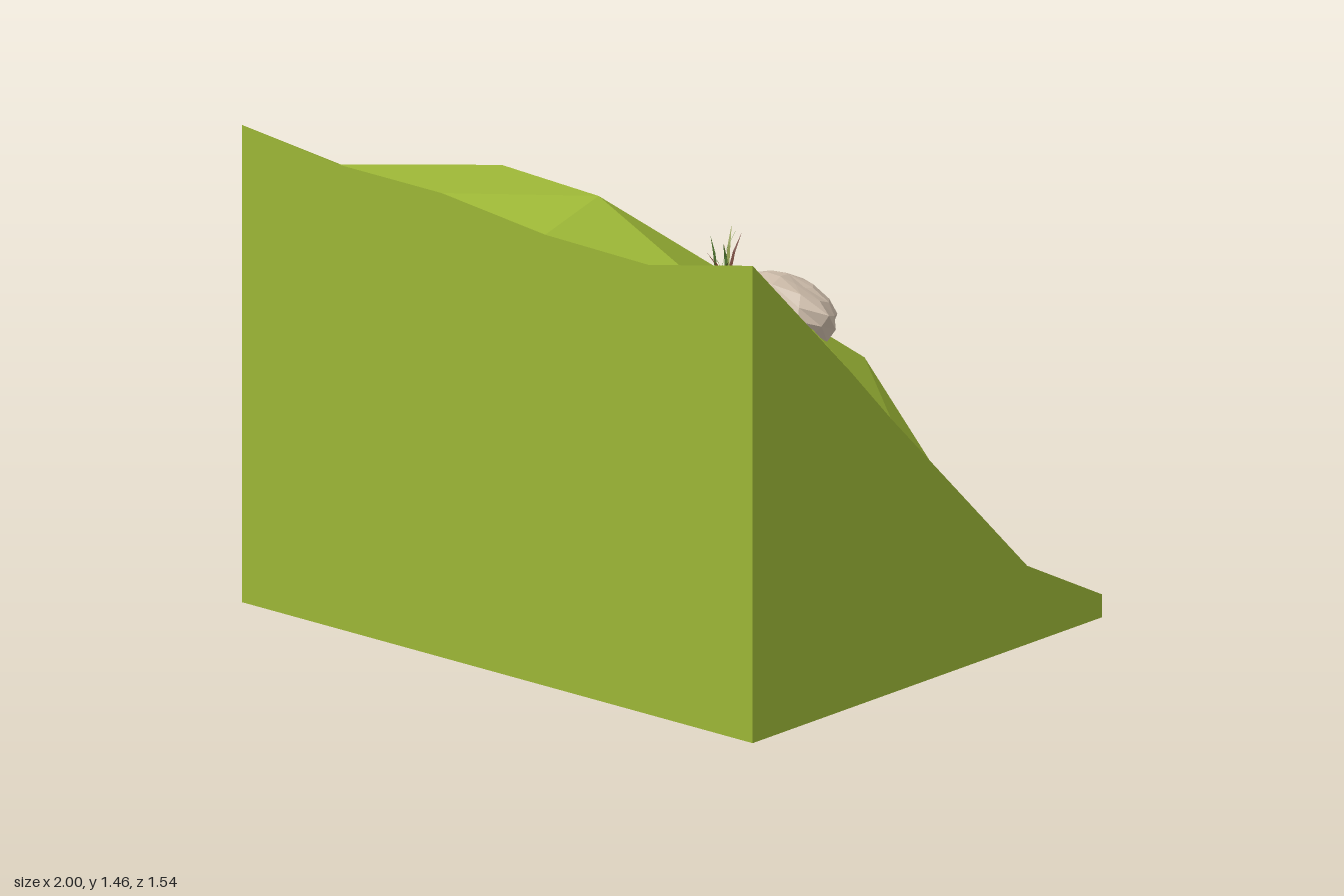
import * as THREE from 'three';

// seeded random numbers
function makeRandom(seed) {
  return () => {
    seed = (seed * 16807) % 2147483647;
    return seed / 2147483647;
  };
}

// flat-faced geometry from a list of four-cornered faces
function fromQuads(quads) {
  const pos = [];
  for (const [a, b, c, d] of quads) {
    for (const p of [a, b, c, a, c, d]) pos.push(...p);
  }
  const geo = new THREE.BufferGeometry();
  geo.setAttribute('position', new THREE.Float32BufferAttribute(pos, 3));
  geo.computeVertexNormals();
  return geo;
}

// hillside: each section lists [z, y] from the crest down to the foot
const SECTIONS = [
  { x: -1.0, p: [[0.77, 1.46], [0.57, 1.25], [0.33, 1.03], [0.17, 0.845], [0, 0.675], [-0.44, 0.245], [-0.77, 0.075]] },
  { x: -0.6, p: [[0.77, 1.42], [0.46, 1.26], [0.17, 1.03], [0.03, 0.89], [-0.14, 0.67], [-0.44, 0.24], [-0.77, 0.075]] },
  { x: -0.2, p: [[0.77, 1.42], [0.505, 1.44], [0.275, 1.0], [0.165, 0.846], [-0.02, 0.675], [-0.48, 0.25], [-0.77, 0.075]] },
  { x: 0.2, p: [[0.77, 1.38], [0.535, 1.44], [0, 1.015], [-0.18, 0.86], [-0.14, 0.67], [-0.44, 0.245], [-0.77, 0.075]] },
  { x: 0.6, p: [[0.77, 1.375], [0.535, 1.255], [0.08, 1.03], [-0.18, 0.855], [-0.14, 0.665], [-0.47, 0.23], [-0.77, 0.07]] },
  { x: 1.0, p: [[0.77, 1.46], [0.53, 1.22], [0.34, 1.03], [0.16, 0.84], [-0.01, 0.67], [-0.44, 0.24], [-0.77, 0.07]] },
];

function hillGeometry() {
  // the left flank leans in slightly towards the front
  const lean = (x, z) => (x === -1 ? x + 0.03 * Math.max(0, z - 0.1) / 0.67 : x);
  const loops = SECTIONS.map(({ x, p }) =>
    [...p, [-0.77, 0], [0.77, 0]].map(([z, y]) => [lean(x, z), y, z]));
  const quads = [];
  // slope, back edge, underside and front wall
  for (let j = 0; j < loops.length - 1; j++) {
    const l = loops[j], r = loops[j + 1], n = l.length;
    for (let i = 0; i < n; i++) {
      const k = (i + 1) % n;
      quads.push([l[i], r[i], r[k], l[k]]);
    }
  }
  // flanks
  const foot = ([x, , z]) => [x, 0, z];
  const left = loops[loops.length - 1], right = loops[0];
  for (let i = 0; i < 6; i++) {
    quads.push([foot(left[i]), foot(left[i + 1]), left[i + 1], left[i]]);
    quads.push([right[i], right[i + 1], foot(right[i + 1]), foot(right[i])]);
  }
  return fromQuads(quads);
}

// faceted boulder: a sphere dented by a smooth rule
function boulderGeometry() {
  const geo = new THREE.SphereGeometry(1, 11, 7);
  const pos = geo.attributes.position, v = new THREE.Vector3();
  for (let i = 0; i < pos.count; i++) {
    v.fromBufferAttribute(pos, i);
    const k = 1 + 0.07 * Math.sin(5 * v.x + 2 * v.y) + 0.06 * Math.sin(6 * v.z - 4 * v.y + 1);
    v.multiplyScalar(k);
    pos.setXYZ(i, v.x, v.y, v.z);
  }
  geo.scale(0.215, 0.088, 0.125);
  geo.computeVertexNormals();
  return geo;
}

// one bent, tapering blade leaning along +x
function bladeGeometry(height, reach, width) {
  const row = (t) => {
    const w = width * (1 - t) * (0.6 + 1.2 * t);
    const x = reach * t * t, y = height * (t - 0.12 * t * t) / 0.88;
    return [[x, y, -w], [x, y, w]];
  };
  const quads = [];
  for (let i = 0; i < 3; i++) {
    const a = row(i / 3), b = row((i + 1) / 3);
    quads.push([a[0], a[1], b[1], b[0]]);
  }
  return fromQuads(quads);
}

export function createModel() {
  const model = new THREE.Group();
  const mat = (color, side = THREE.FrontSide) =>
    new THREE.MeshStandardMaterial({ color, side, flatShading: true });

  const hill = new THREE.Mesh(hillGeometry(), mat(0x9cb636));
  hill.name = 'hillside';
  model.add(hill);

  const boulder = new THREE.Mesh(boulderGeometry(), mat(0xcdbcaa));
  boulder.name = 'boulder';
  boulder.position.set(0.5, 1.06, 0.08);
  boulder.rotation.set(-0.35, 0.08, -0.06);
  model.add(boulder);

  // grass tufts: position, height, spread, blade count
  const bladeMats = [0xb5694a, 0x5f8a3c, 0x6b3a2c, 0x8f9a48].map((c) => mat(c, THREE.DoubleSide));
  const tufts = [
    [0.26, 1.04, 0.05, 0.21, 0.065, 11],
    [-0.34, 0.71, 0.0, 0.12, 0.1, 8],
    [-0.1, 0.62, -0.07, 0.11, 0.085, 7],
    [-0.1, 1.17, 0.32, 0.12, 0.07, 7],
  ];
  const rand = makeRandom(77);
  for (const [x, y, z, height, spread, count] of tufts) {
    const tuft = new THREE.Group();
    tuft.name = 'grassTuft';
    tuft.position.set(x, y, z);
    for (let i = 0; i < count; i++) {
      const geo = bladeGeometry(height * (0.5 + 0.5 * rand()), spread * (0.4 + 0.6 * rand()), 0.009);
      const blade = new THREE.Mesh(geo, bladeMats[i % bladeMats.length]);
      blade.name = 'grassBlade';
      blade.rotation.y = (i / count) * Math.PI * 2 + rand() * 0.5;
      blade.position.set((rand() - 0.5) * 0.03, 0, (rand() - 0.5) * 0.03);
      tuft.add(blade);
    }
    model.add(tuft);
  }
  return model;
}
